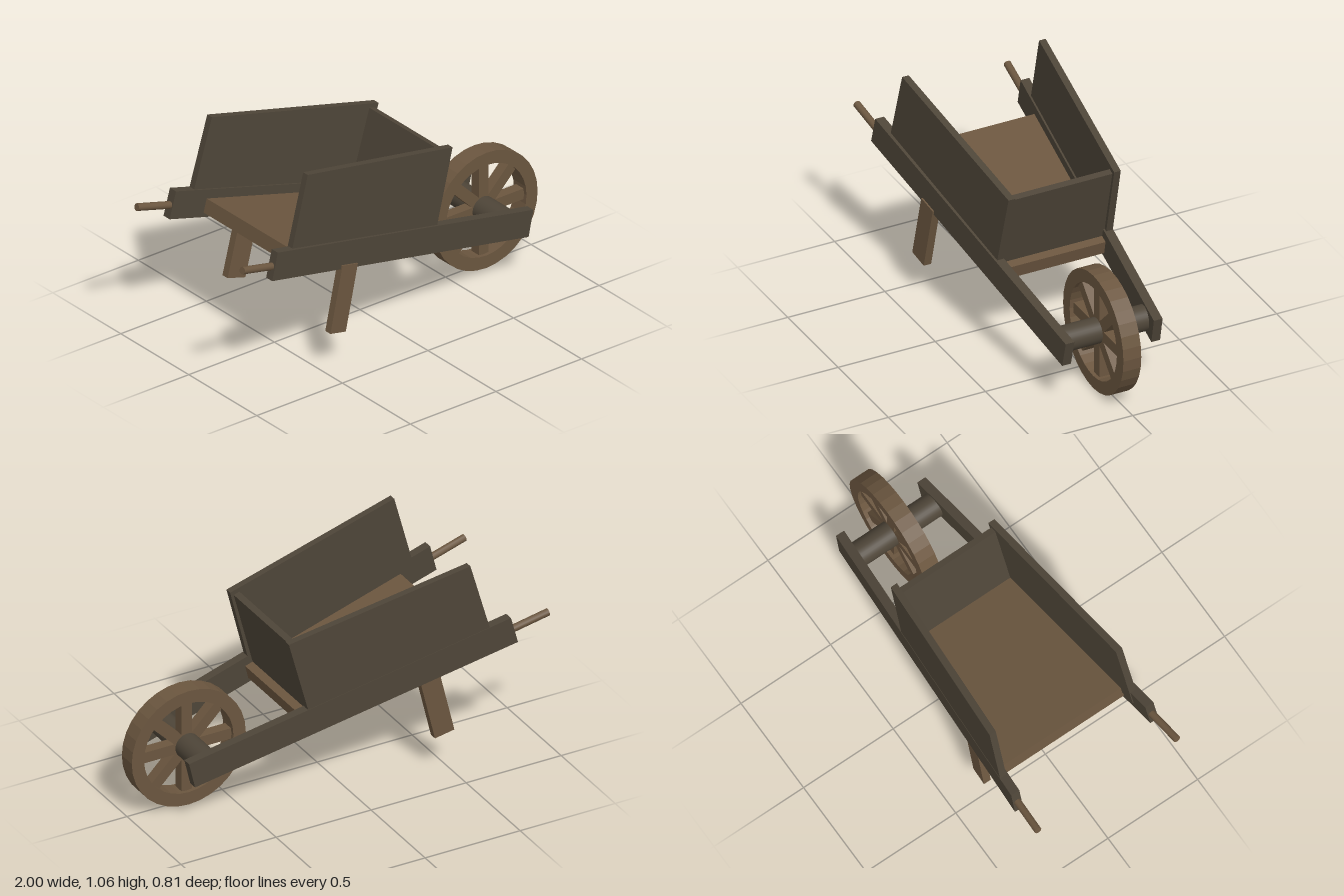
import * as THREE from 'three';

const darkWood = new THREE.MeshStandardMaterial({ color: 0x4e4538 });
const lightWood = new THREE.MeshStandardMaterial({ color: 0x6b563f });

// Faces of the tapering rails: distance from the centre line at a given x
const railOuter = (x) => 0.324 - 0.0915 * x;
const railInner = (x) => railOuter(x) - 0.045;

// A plank: side profile in x/y, running from z = near(x) to z = far(x)
function plank(name, points, near, far, material) {
  const shape = new THREE.Shape(points.map(([x, y]) => new THREE.Vector2(x, y)));
  const geo = new THREE.ExtrudeGeometry(shape, { depth: 1, bevelEnabled: false });
  const p = geo.attributes.position;
  for (let i = 0; i < p.count; i++) {
    const x = p.getX(i);
    p.setZ(i, p.getZ(i) < 0.5 ? near(x) : far(x));
  }
  geo.computeVertexNormals();
  const mesh = new THREE.Mesh(geo, material);
  mesh.name = name;
  return mesh;
}

// A plank on one side, given its inner and outer distances from the centre line
function sidePlank(name, side, points, inner, outer, material) {
  return side > 0
    ? plank(name, points, inner, outer, material)
    : plank(name, points, (x) => -outer(x), (x) => -inner(x), material);
}

// A round rod between two points
function rod(name, a, b, radius, segments, material) {
  const dir = b.clone().sub(a);
  const mesh = new THREE.Mesh(new THREE.CylinderGeometry(radius, radius, dir.length(), segments), material);
  mesh.position.copy(a).add(b).multiplyScalar(0.5);
  mesh.quaternion.setFromUnitVectors(new THREE.Vector3(0, 1, 0), dir.normalize());
  mesh.name = name;
  return mesh;
}

function createWheel() {
  const wheel = new THREE.Group();
  wheel.name = 'wheel';
  const shape = new THREE.Shape().absarc(0, 0, 0.3, 0, Math.PI * 2, false);
  shape.holes.push(new THREE.Path().absarc(0, 0, 0.235, 0, Math.PI * 2, true));
  const rimGeo = new THREE.ExtrudeGeometry(shape, { depth: 0.092, bevelEnabled: false, curveSegments: 16 });
  rimGeo.translate(0, 0, -0.046);
  const rim = new THREE.Mesh(rimGeo, lightWood);
  rim.name = 'rim';
  wheel.add(rim);
  // Each bar makes two opposite spokes
  for (let i = 0; i < 4; i++) {
    const spoke = new THREE.Mesh(new THREE.BoxGeometry(0.49, 0.055, 0.055), lightWood);
    spoke.rotation.z = (i * Math.PI) / 4;
    spoke.name = 'spokePair';
    wheel.add(spoke);
  }
  wheel.position.set(0.7, 0.3, 0.002);
  return wheel;
}

export function createModel() {
  const model = new THREE.Group();
  model.name = 'wheelbarrow';

  for (const side of [1, -1]) {
    const prefix = side > 0 ? 'left' : 'right';

    // Long rail
    model.add(sidePlank(prefix + 'Rail', side,
      [[-0.83, 0.6], [0.785, 0.22], [0.815, 0.35], [-0.795, 0.735]],
      railInner, railOuter, darkWood));

    // Side board, its foot set into the rail
    const outer = side > 0 ? (x) => 0.312 - 0.086 * x : (x) => railOuter(x) - 0.002;
    model.add(sidePlank(prefix + 'SideBoard', side,
      [[-0.713, 0.625], [0.197, 0.41], [0.315, 0.86], [-0.593, 1.057]],
      (x) => outer(x) - 0.034, outer, darkWood));

    // Leg, the right one set a little further back
    const shift = side > 0 ? 0 : -0.05;
    const drop = side > 0 ? 0 : 0.012;
    const legFace = side > 0 ? 0.332 : 0.314;
    const legInner = (x) => legFace - 0.0915 * (x - shift + 0.42);
    model.add(sidePlank(prefix + 'Leg', side,
      [[-0.47, 0.192], [-0.373, 0.168], [-0.297, 0.495], [-0.394, 0.518]]
        .map(([x, y]) => [x + shift, y + drop]),
      legInner, (x) => legInner(x) + 0.038, lightWood));

    // Round handle
    model.add(rod(prefix + 'Handle',
      new THREE.Vector3(-0.996, 0.706, side * 0.388),
      new THREE.Vector3(-0.75, 0.646, side * 0.37), 0.018, 12, lightWood));
  }

  // Tray floor and front board
  const halfFloor = (x) => railInner(x) + 0.008;
  model.add(plank('floor',
    [[-0.645, 0.58], [0.215, 0.377], [0.232, 0.445], [-0.628, 0.648]],
    (x) => -halfFloor(x), halfFloor, lightWood));
  model.add(plank('frontBoard',
    [[0.155, 0.45], [0.187, 0.442], [0.295, 0.842], [0.264, 0.85]],
    (x) => -halfFloor(x), halfFloor, darkWood));

  // Axle and wheel
  model.add(rod('axle', new THREE.Vector3(0.697, 0.303, -0.22),
    new THREE.Vector3(0.697, 0.303, 0.22), 0.0625, 32, darkWood));
  model.add(createWheel());

  return model;
}
